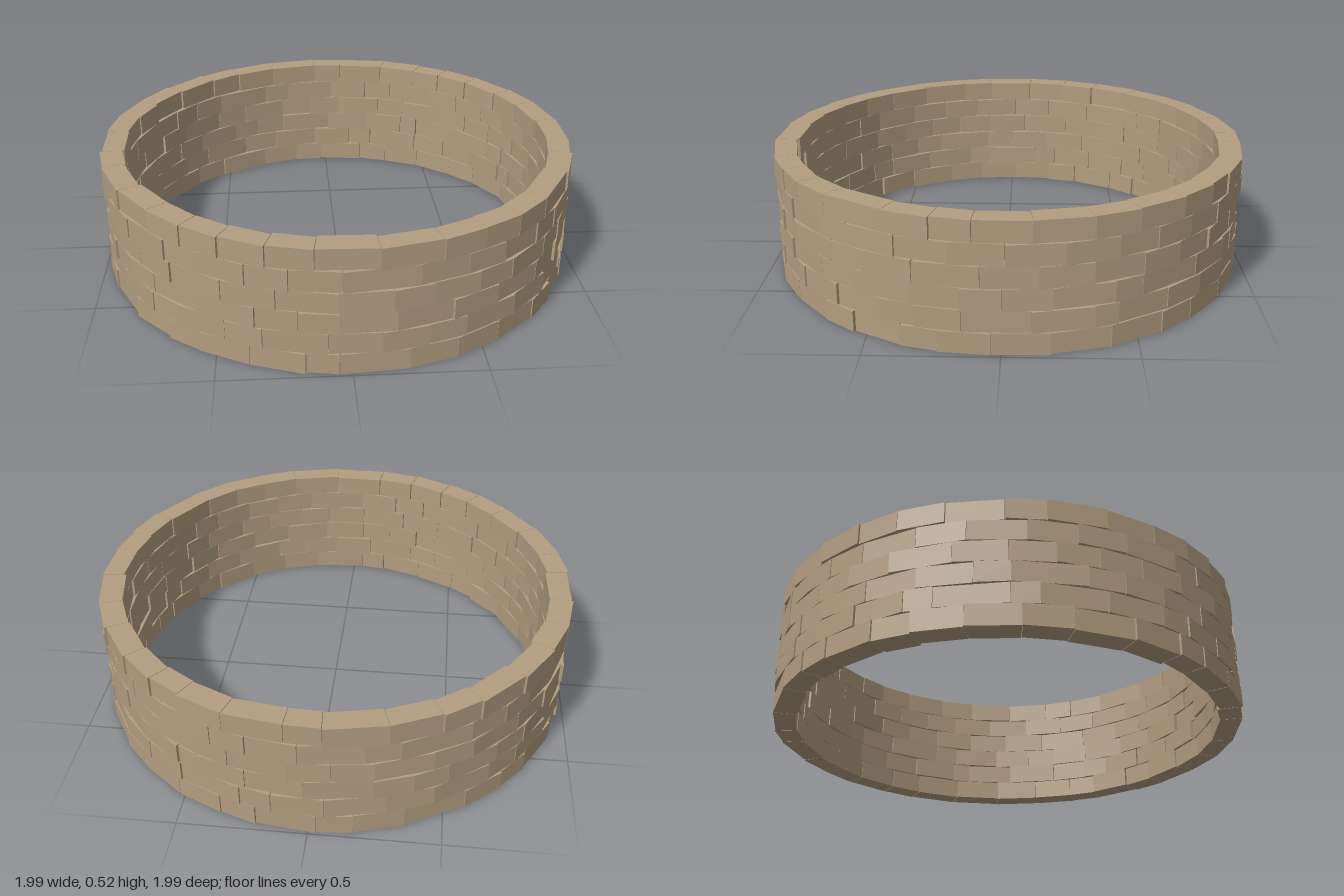
import * as THREE from 'three';
import { mergeGeometries } from 'three/addons/utils/BufferGeometryUtils.js';

const COURSES = 6, BRICKS = 32, TOP = 0.522, BOTTOM = 0.005;
const INNER = 0.897, OUTER = 0.99;

// Small seeded generator for the hand-laid irregularity
function makeRandom(seed) {
  return (range = 1) => {
    seed = (seed * 16807) % 2147483647;
    return (seed / 2147483647 * 2 - 1) * range;
  };
}

// One block: a unit box bent onto the ring between angles a0 and a1
function brick(a0, a1, y0, y1, shift0, shift1, depth) {
  const g = new THREE.BoxGeometry(1, 1, 1);
  const p = g.attributes.position;
  for (let i = 0; i < p.count; i++) {
    const right = p.getX(i) > 0;
    const a = right ? a1 : a0;
    const r = (p.getZ(i) > 0 ? OUTER : INNER - depth) + (right ? shift1 : shift0);
    p.setXYZ(i, r * Math.sin(a), p.getY(i) > 0 ? y1 : y0, r * Math.cos(a));
  }
  g.computeVertexNormals();
  return g;
}

export function createModel() {
  const group = new THREE.Group();
  group.name = 'stoneRing';
  const stone = new THREE.MeshStandardMaterial({ color: 0xb29d80 });
  stone.name = 'sandstone';
  const random = makeRandom(4711);
  const pitch = (TOP - BOTTOM) / COURSES;
  const step = Math.PI * 2 / BRICKS;

  for (let c = 0; c < COURSES; c++) {
    // Uneven joints, staggered from course to course
    const joints = [];
    for (let i = 0; i < BRICKS; i++) {
      joints.push((i + (c % 2) * 0.5 + random(0.27)) * step);
    }
    joints.push(joints[0] + Math.PI * 2);

    const bricks = [];
    for (let i = 0; i < BRICKS; i++) {
      const y0 = BOTTOM + c * pitch + (c ? 0.001 + random(0.002) : 0);
      const y1 = BOTTOM + (c + 1) * pitch - (c < COURSES - 1 ? 0.001 + random(0.002) : 0);
      bricks.push(brick(joints[i] + 0.001, joints[i + 1] - 0.001, y0, y1,
        random(0.006), random(0.006), random(0.004)));
    }
    const mesh = new THREE.Mesh(mergeGeometries(bricks), stone);
    mesh.name = `brickCourse${c + 1}`;
    group.add(mesh);
  }
  return group;
}
